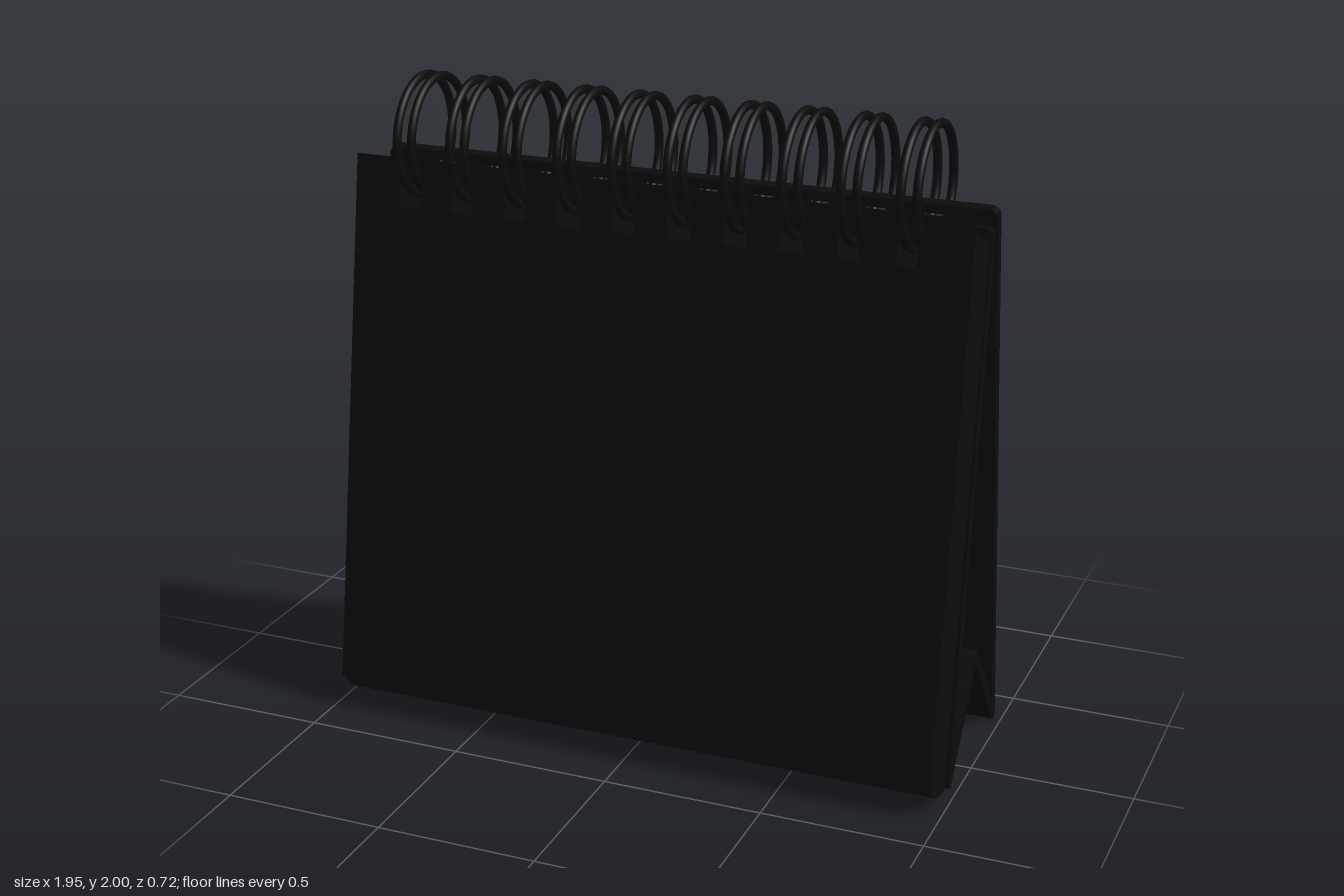
import * as THREE from 'three';

const black = new THREE.MeshStandardMaterial({ color: 0x0b0b0b });

const RING_COUNT = 10, RING_SPACING = 0.1746;
const RING_Y = 1.803, RING_Z = -0.025, RING_R = 0.182, WIRE_R = 0.0135;
const ringX = i => (i - (RING_COUNT - 1) / 2) * RING_SPACING;

// Flat sheet hanging down from its top edge, optionally punched for the rings
function sheetGeometry(halfWidth, length, thickness, corner, punched) {
  const s = new THREE.Shape();
  s.moveTo(-halfWidth, -length);
  s.lineTo(halfWidth, -length);
  s.lineTo(halfWidth, -corner);
  if (corner) s.quadraticCurveTo(halfWidth, 0, halfWidth - corner, 0);
  s.lineTo(-halfWidth + corner, 0);
  if (corner) s.quadraticCurveTo(-halfWidth, 0, -halfWidth, -corner);
  s.closePath();
  for (let i = 0; punched && i < RING_COUNT; i++) {
    const x = ringX(i), w = 0.037;
    s.holes.push(new THREE.Path([
      new THREE.Vector2(x - w, -0.03), new THREE.Vector2(x - w, -0.15),
      new THREE.Vector2(x + w, -0.15), new THREE.Vector2(x + w, -0.03),
    ]));
  }
  const g = new THREE.ExtrudeGeometry(s, { depth: thickness, bevelEnabled: false, curveSegments: 6 });
  return g.translate(0, 0, -thickness / 2);
}

// Panel running between two [z, y] points in the side profile
function panel(name, from, to, halfWidth, thickness, corner, punched) {
  const dz = to[0] - from[0], dy = to[1] - from[1];
  const mesh = new THREE.Mesh(sheetGeometry(halfWidth, Math.hypot(dz, dy), thickness, corner, punched), black);
  mesh.name = name;
  mesh.position.set(0, from[1], from[0]);
  mesh.rotation.x = Math.atan2(-dz, -dy);
  return mesh;
}

export function createModel() {
  const model = new THREE.Group();
  model.name = 'deskCalendar';

  // Folded board stand: two legs joined by an inverted V at the base
  const stand = new THREE.Group();
  stand.name = 'stand';
  const W = 0.975, T = 0.038;
  const frontTop = [-0.07, 1.69], frontFoot = [0.145, 0.02], apex = [-0.097, 0.33];
  const backFoot = [-0.343, 0.02], backTop = [-0.115, 1.735];
  stand.add(
    panel('frontLeg', frontTop, frontFoot, W, T, 0.03, true),
    panel('backLeg', backTop, backFoot, W, T, 0.03, true),
    panel('frontBaseFold', apex, frontFoot, W, T, 0, false),
    panel('backBaseFold', apex, backFoot, W, T, 0, false),
  );
  const creaseGeo = new THREE.CylinderGeometry(T / 2, T / 2, 2 * W, 14).rotateZ(Math.PI / 2);
  for (const [z, y] of [frontFoot, apex, backFoot]) {
    const crease = new THREE.Mesh(creaseGeo, black);
    crease.name = 'crease';
    crease.position.set(0, y, z);
    stand.add(crease);
  }
  model.add(stand);

  // Stack of pages whose top edges follow the inside of the rings
  const pages = new THREE.Group();
  pages.name = 'pages';
  const COUNT = 24, TILT = 0.145, HANG_R = 0.14, S0 = -0.045, S1 = 0.122;
  const step = (S1 - S0) / COUNT;
  const pageGeo = sheetGeometry(0.97, 1.66, step, 0, true);
  for (let i = 0; i < COUNT; i++) {
    const s = S0 + (i + 0.5) * step, w = Math.sqrt(HANG_R * HANG_R - s * s);
    const page = new THREE.Mesh(pageGeo, black);
    page.name = 'page';
    page.position.set(0,
      RING_Y + s * Math.sin(TILT) - w * Math.cos(TILT),
      RING_Z + s * Math.cos(TILT) + w * Math.sin(TILT));
    page.rotation.x = -TILT;
    pages.add(page);
  }
  model.add(pages);

  // Thin cover sheet hanging slightly away from the stack
  model.add(panel('frontCover', [0.112, 1.76], [0.36, 0.11], 0.97, 0.005, 0, true));

  // Twin wire rings
  const rings = new THREE.Group();
  rings.name = 'rings';
  const ringGeo = new THREE.TorusGeometry(RING_R, WIRE_R, 10, 48).rotateY(Math.PI / 2);
  for (let i = 0; i < RING_COUNT; i++) {
    for (const side of [-1, 1]) {
      const ring = new THREE.Mesh(ringGeo, black);
      ring.name = 'ring';
      ring.position.set(ringX(i) + side * 0.024, RING_Y, RING_Z);
      rings.add(ring);
    }
  }
  model.add(rings);
  return model;
}
